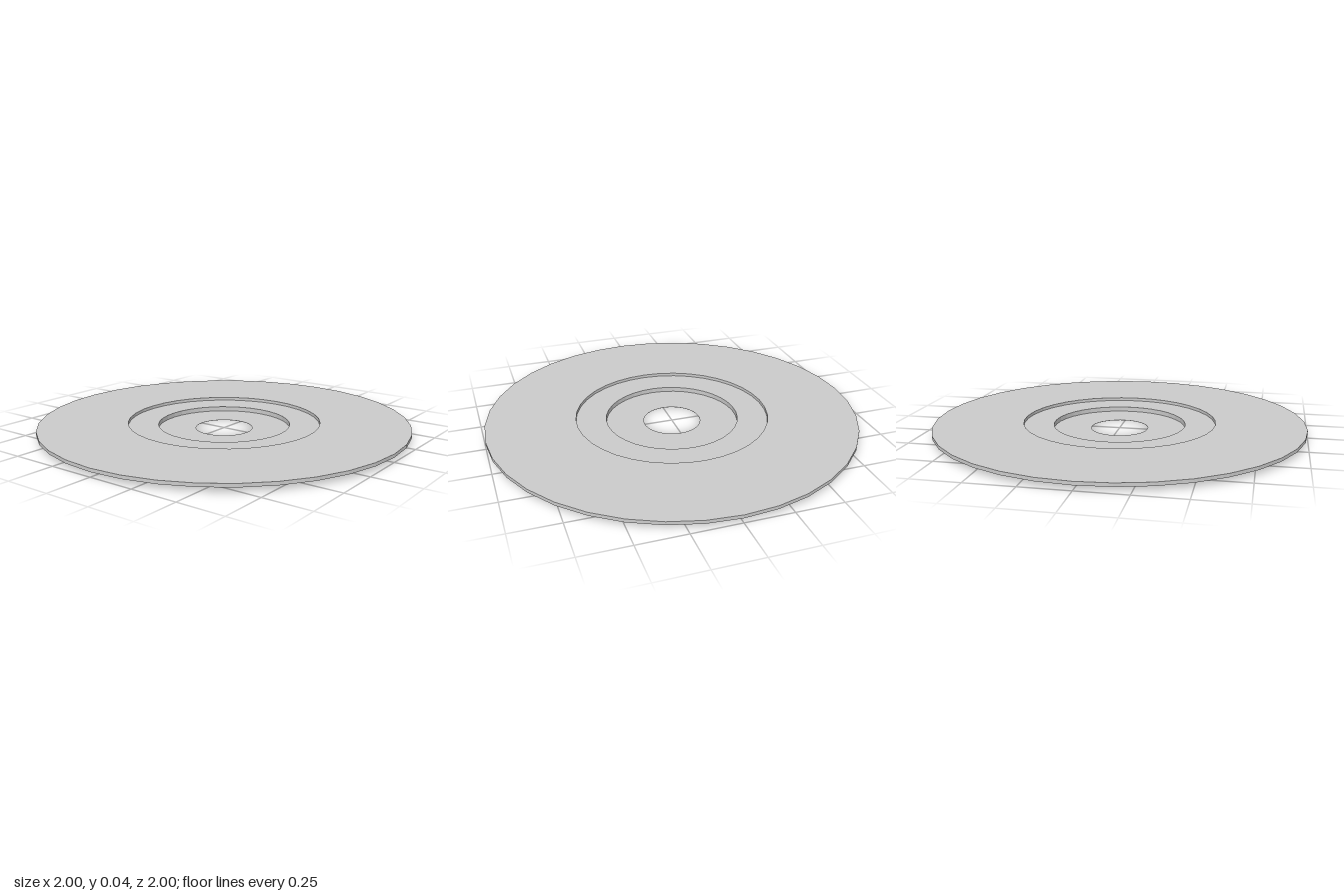
import * as THREE from 'three';

const SIDES = 36;
const material = new THREE.MeshStandardMaterial({ color: 0xcccccc, flatShading: true, side: THREE.DoubleSide });

// Ring turned from a closed [radius, height] profile, listed counter-clockwise
function turned(name, profile) {
  const points = [...profile, profile[0]].map(([r, y]) => new THREE.Vector2(r, y));
  const mesh = new THREE.Mesh(new THREE.LatheGeometry(points, SIDES), material);
  mesh.name = name;
  return mesh;
}

export function createModel() {
  const group = new THREE.Group();
  group.name = 'steppedDisc';

  // Wide thin outer plate
  group.add(turned('outerFlange', [[0.52, 0.025], [1, 0.025], [1, 0.043], [0.52, 0.043]]));

  // Lower hub: raised shoulder around a very thin floor with a centre hole
  group.add(turned('hub', [
    [0.154, 0], [0.52, 0], [0.52, 0.026], [0.357, 0.026], [0.357, 0.001], [0.154, 0.001],
  ]));

  return group;
}
